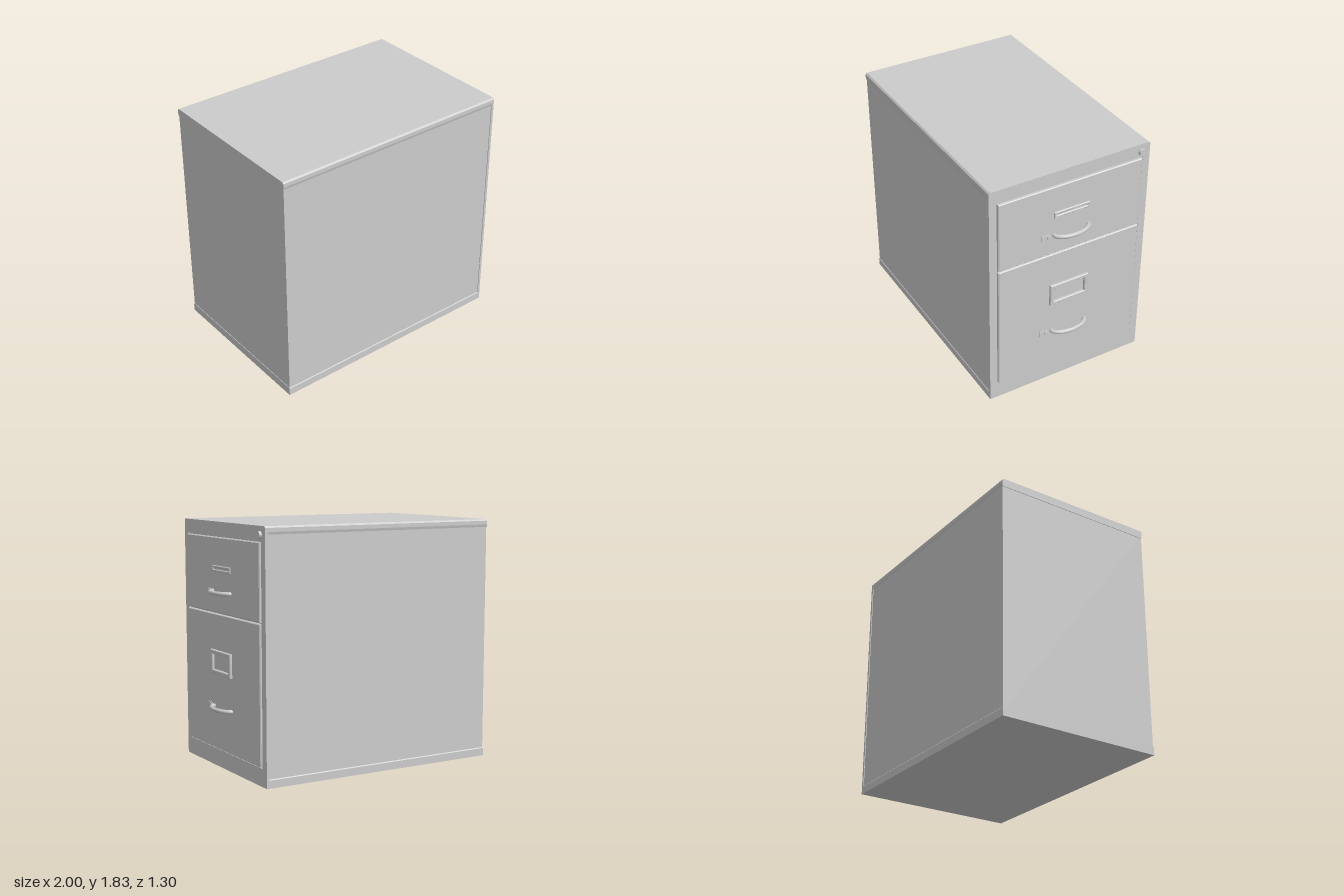
import * as THREE from 'three';

const material = new THREE.MeshStandardMaterial({ color: 0xcccccc });

export function createModel() {
  const group = new THREE.Group();

  const add = (name, geometry, x = 0, y = 0, z = 0, parent = group) => {
    const mesh = new THREE.Mesh(geometry, material);
    mesh.name = name;
    mesh.position.set(x, y, z);
    parent.add(mesh);
    return mesh;
  };

  // Box given by its limits on each axis
  const box = (name, x0, x1, y0, y1, z0, z1, parent) =>
    add(name, new THREE.BoxGeometry(x1 - x0, y1 - y0, z1 - z0),
      (x0 + x1) / 2, (y0 + y1) / 2, (z0 + z1) / 2, parent);

  // Outline in the z-y plane extruded along x
  const extrudeX = (shape, depth) =>
    new THREE.ExtrudeGeometry(shape, { depth, bevelEnabled: false }).rotateY(Math.PI / 2);

  // Right half of a symmetric outline, mirrored across the middle
  const symmetric = (half) => new THREE.Shape([
    ...half.map(([z, y]) => new THREE.Vector2(z, y)),
    ...half.slice().reverse().map(([z, y]) => new THREE.Vector2(-z, y)),
  ]);

  const rectangle = (PathType, w, h) => new PathType([
    new THREE.Vector2(-w / 2, -h / 2), new THREE.Vector2(w / 2, -h / 2),
    new THREE.Vector2(w / 2, h / 2), new THREE.Vector2(-w / 2, h / 2),
  ]);

  // Rectangular ring with a sloped outer edge
  const ring = (name, w, h, border, depth, x, y, z, parent) => {
    const bevel = 0.005;
    const shape = rectangle(THREE.Shape, w - 2 * bevel, h - 2 * bevel);
    shape.holes.push(rectangle(THREE.Path, w - 2 * border, h - 2 * border));
    const geometry = new THREE.ExtrudeGeometry(shape, {
      depth: depth - bevel, bevelThickness: bevel, bevelSize: bevel, bevelSegments: 1,
    }).rotateY(Math.PI / 2);
    return add(name, geometry, x, y, z, parent);
  };

  // Cabinet shell
  box('cabinetBody', -0.996, 0.89, 0.03, 1.8, -0.643, 0.643);
  add('topCover', extrudeX(symmetric([
    [0.642, 1.768], [0.648, 1.79], [0.648, 1.818], [0.638, 1.83],
  ]), 1.9), -1, 0, 0);
  add('basePlinth', extrudeX(symmetric([
    [0.648, 0], [0.648, 0.058], [0.642, 0.066],
  ]), 1.9), -1, 0, 0);

  // Front frame around the drawer opening
  const frame = symmetric([[0.648, 0], [0.648, 1.818], [0.638, 1.83]]);
  frame.holes.push(new THREE.Path([
    new THREE.Vector2(-0.588, 0.132), new THREE.Vector2(0.588, 0.132),
    new THREE.Vector2(0.588, 1.725), new THREE.Vector2(-0.588, 1.725),
  ]));
  add('frontFrame', extrudeX(frame, 0.02), 0.885, 0, 0);

  // Curved pull and the thumb latch beside it
  const pullCurve = new THREE.CatmullRomCurve3([
    [0.912, 0.138], [0.93, 0.137], [0.955, 0.115], [0.975, 0.07], [0.984, 0],
    [0.975, -0.07], [0.955, -0.115], [0.93, -0.142], [0.912, -0.145],
  ].map(([x, z]) => new THREE.Vector3(x, 0, z)));
  const addPull = (y, parent) => {
    add('pullHandle', new THREE.TubeGeometry(pullCurve, 40, 0.016, 12), 0, y, 0, parent);
    box('latchPlate', 0.91, 0.924, y - 0.02, y + 0.02, 0.172, 0.205, parent);
    box('latchButton', 0.91, 0.932, y - 0.012, y + 0.012, 0.175, 0.2, parent);
    box('latchTab', 0.91, 0.926, y - 0.02, y + 0.02, 0.205, 0.24, parent);
  };

  // Drawers
  const addDrawer = (name, y0, y1, pullY) => {
    const drawer = new THREE.Group();
    drawer.name = name;
    group.add(drawer);
    const height = y1 - y0, bevel = 0.006;
    add('drawerFront', new THREE.ExtrudeGeometry(
      rectangle(THREE.Shape, 1.164 - 2 * bevel, height - 2 * bevel),
      { depth: 0.02, bevelThickness: bevel, bevelSize: bevel, bevelSegments: 1 },
    ).rotateY(Math.PI / 2), 0.892, (y0 + y1) / 2, 0, drawer);
    addPull(pullY, drawer);
    return drawer;
  };
  const upper = addDrawer('upperDrawer', 1.163, 1.718, 1.32);
  const lower = addDrawer('lowerDrawer', 0.139, 1.153, 0.46);

  // Label holders
  ring('labelHolder', 0.29, 0.048, 0.013, 0.012, 0.914, 1.488, -0.003, upper);
  ring('cardFrame', 0.32, 0.178, 0.026, 0.022, 0.916, 0.797, 0.004, lower);

  // Lock cylinder in the top corner
  add('lock', new THREE.CylinderGeometry(0.025, 0.027, 0.03, 24).rotateZ(-Math.PI / 2),
    0.909, 1.768, -0.577);

  return group;
}
